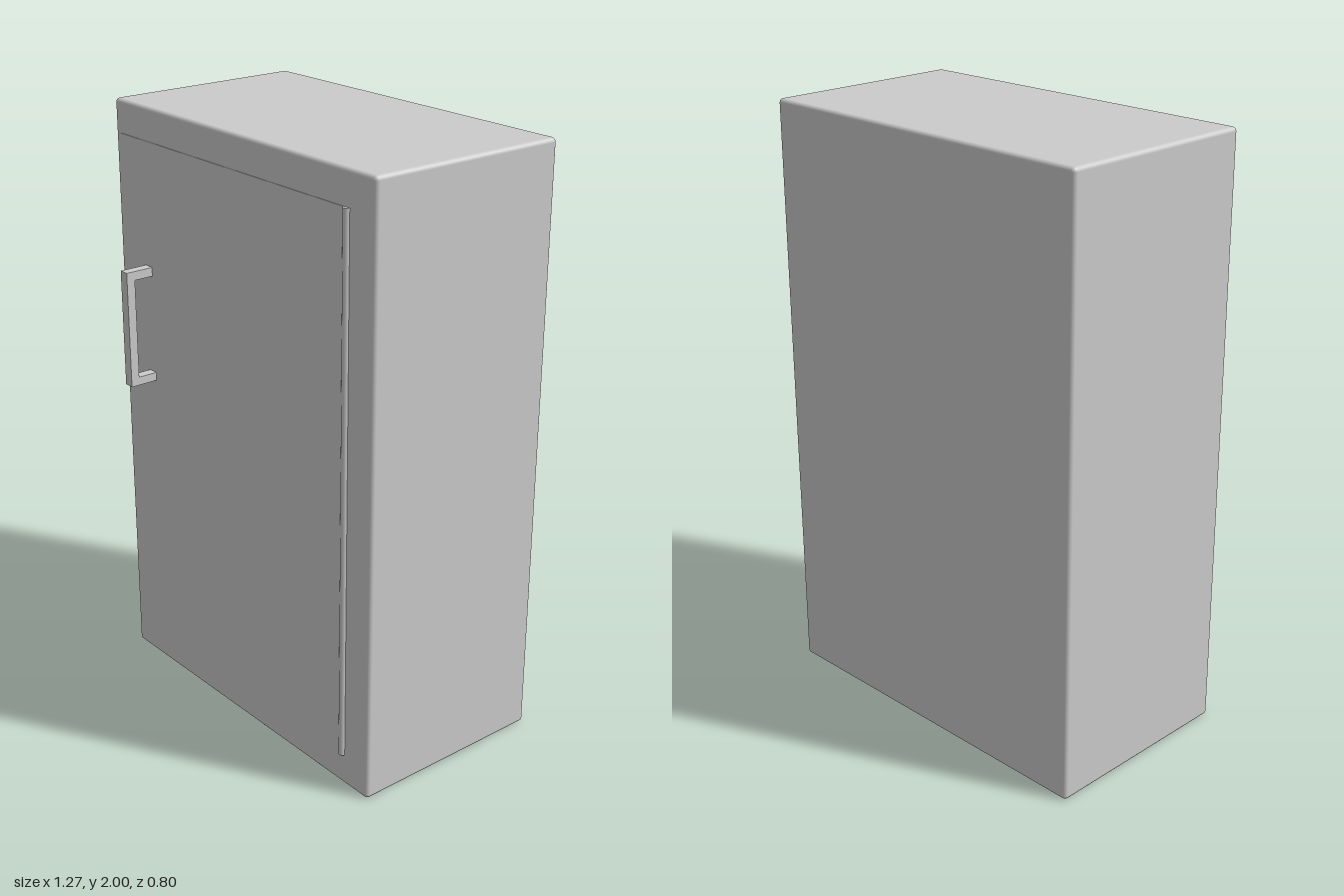
import * as THREE from 'three';
import { RoundedBoxGeometry } from 'three/addons/geometries/RoundedBoxGeometry.js';

export function createModel() {
  const group = new THREE.Group();
  const material = new THREE.MeshStandardMaterial({ color: 0xcccccc });

  function add(name, geometry, x, y, z, parent = group) {
    const mesh = new THREE.Mesh(geometry, material);
    mesh.name = name;
    mesh.position.set(x, y, z);
    parent.add(mesh);
    return mesh;
  }

  // Cabinet body with softly rounded edges
  add('cabinetBody', new RoundedBoxGeometry(1.27, 2, 0.7, 3, 0.014), 0, 1, -0.05);

  // Door panel, almost flush with the front
  add('door', new THREE.BoxGeometry(1.12, 1.78, 0.03), -0.04, 1, 0.287);

  // Full-height hinge barrel on the left edge of the door
  add('hinge', new THREE.CylinderGeometry(0.012, 0.012, 1.78, 16), 0.515, 1, 0.3);

  // Square-section bracket handle, extruded sideways from its side profile
  const profile = new THREE.Shape([
    [0.295, 1.08], [0.4, 1.08], [0.4, 1.475], [0.295, 1.475],
    [0.295, 1.445], [0.37, 1.445], [0.37, 1.108], [0.295, 1.108],
  ].map(([z, y]) => new THREE.Vector2(-z, y)));
  const handle = new THREE.ExtrudeGeometry(profile, { depth: 0.035, bevelEnabled: false });
  handle.rotateY(Math.PI / 2);
  add('handle', handle, -0.49, 0, 0);

  return group;
}
